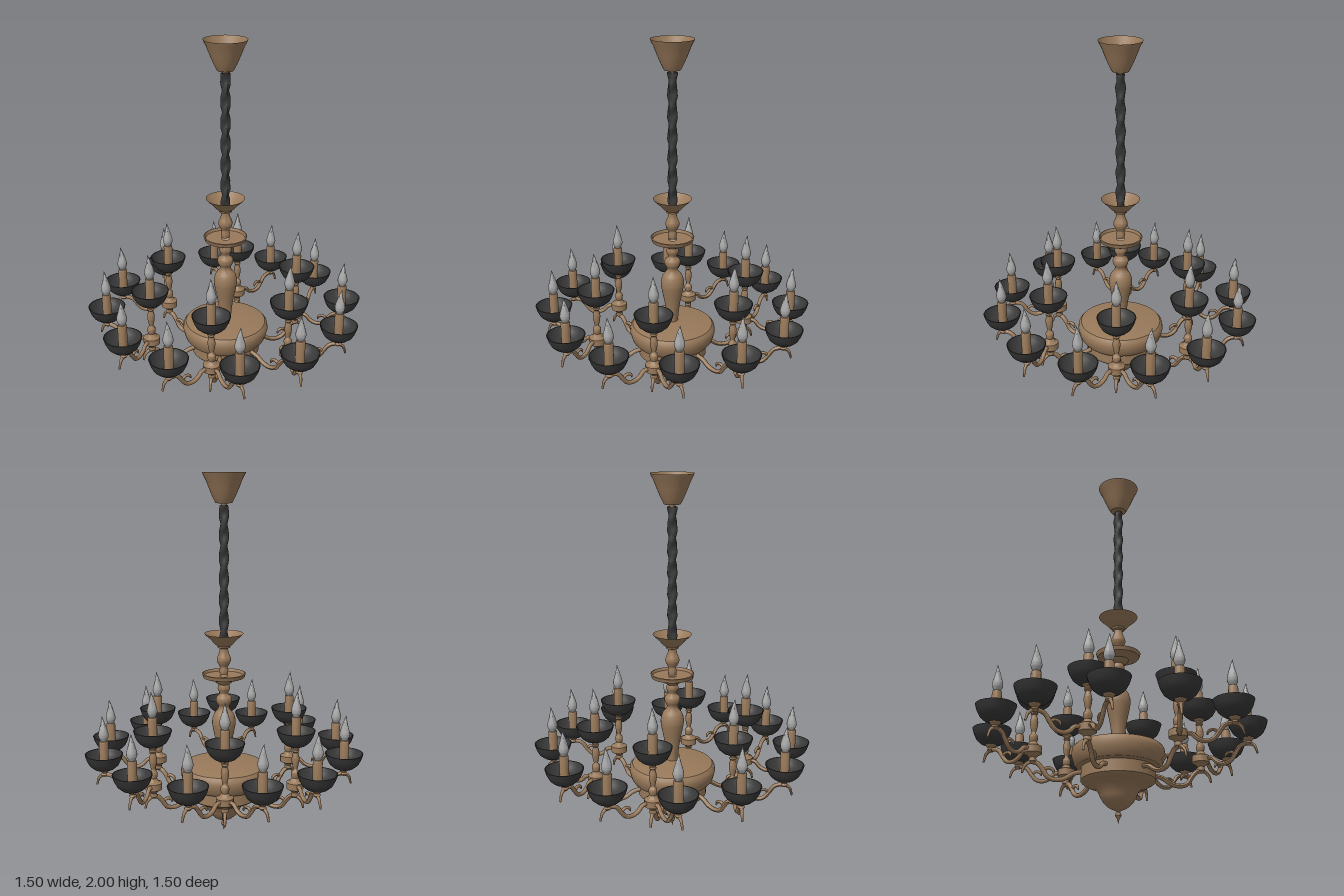
import * as THREE from 'three';
import { toCreasedNormals } from 'three/addons/utils/BufferGeometryUtils.js';

const material = (name, color) => {
  const m = new THREE.MeshStandardMaterial({ color, side: THREE.DoubleSide });
  m.name = name;
  return m;
};

// Turned shape from [radius, height] pairs listed bottom to top
const turned = (pts, sides = 24, crease = 0.6) =>
  toCreasedNormals(new THREE.LatheGeometry(pts.map(([r, y]) => new THREE.Vector2(r, y)), sides), crease);

// Rounds the profile through a spline before turning it
const turnedSmooth = (pts, steps, sides) => {
  const curve = new THREE.SplineCurve(pts.map(([r, y]) => new THREE.Vector2(r, y)));
  return turned(curve.getPoints(steps).map((p) => [Math.max(p.x, 0), p.y]), sides, 0.9);
};

// Tapered rod that follows [x, y] points in the xy plane
const rod = (pts, radius, taper = 0.45) => {
  const curve = new THREE.CatmullRomCurve3(pts.map(([x, y]) => new THREE.Vector3(x, y, 0)));
  const n = 28, sides = 8;
  const g = new THREE.TubeGeometry(curve, n, radius, sides, false);
  const p = g.attributes.position, c = new THREE.Vector3(), v = new THREE.Vector3();
  for (let i = 0; i <= n; i++) {
    const t = i / n;
    curve.getPointAt(t, c);
    const s = t < 0.75 ? 1 : 1 - (1 - taper) * (t - 0.75) / 0.25;
    for (let j = 0; j <= sides; j++) {
      const k = i * (sides + 1) + j;
      v.fromBufferAttribute(p, k).sub(c).multiplyScalar(s).add(c);
      p.setXYZ(k, v.x, v.y, v.z);
    }
  }
  g.computeVertexNormals();
  return g;
};

export function createModel() {
  const bronze = material('bronze', 0x98795a);
  const black = material('black metal', 0x383838);
  const glass = material('bulb grey', 0xa6a6a6);
  const root = new THREE.Group();
  root.name = 'chandelier';
  const add = (parent, name, geometry, mat, x = 0, y = 0, z = 0) => {
    const m = new THREE.Mesh(geometry, mat);
    m.name = name;
    m.position.set(x, y, z);
    parent.add(m);
    return m;
  };

  // Ceiling canopy, an open funnel
  add(root, 'canopy', turned([[0, 1.825], [0.014, 1.83], [0.016, 1.84], [0.043, 1.842], [0.048, 1.85],
    [0.063, 1.88], [0.08, 1.92], [0.098, 1.965], [0.11, 1.988], [0.115, 2]], 32), bronze);

  // Suspension cord with a twisted, lumpy surface
  const cord = new THREE.CylinderGeometry(1, 1, 0.73, 12, 60, false);
  const cp = cord.attributes.position;
  for (let i = 0; i < cp.count; i++) {
    const x = cp.getX(i), y = cp.getY(i), z = cp.getZ(i);
    const r = 0.0235 + 0.004 * Math.cos(2 * Math.atan2(z, x) + y * 55) + 0.001 * Math.sin(y * 110);
    cp.setXYZ(i, x * r, y, z * r);
  }
  cord.computeVertexNormals();
  add(root, 'cord', cord, black, 0, 1.465);

  // Open flared cup where the cord ends
  add(root, 'topCup', turned([[0.02, 1.065], [0.034, 1.07], [0.036, 1.08], [0.05, 1.09], [0.072, 1.115],
    [0.098, 1.138], [0.106, 1.148]], 32), bronze);
  add(root, 'topCupFloor', turned([[0.038, 1.083], [0, 1.084]]), bronze);

  // Upper column with its dish
  add(root, 'upperColumn', turnedSmooth([[0.022, 0.92], [0.024, 0.945], [0.021, 0.96], [0.036, 0.99],
    [0.038, 1.01], [0.025, 1.045], [0.022, 1.075]], 30), bronze);
  add(root, 'dish', turned([[0.03, 0.865], [0.045, 0.875], [0.055, 0.89], [0.1, 0.9], [0.113, 0.905],
    [0.12, 0.926], [0.114, 0.928], [0.108, 0.912], [0.022, 0.91]], 32), bronze);
  add(root, 'column', turnedSmooth([[0.03, 0.39], [0.032, 0.43], [0.042, 0.52], [0.06, 0.61], [0.065, 0.655],
    [0.055, 0.695], [0.036, 0.72], [0.03, 0.74], [0.042, 0.765], [0.042, 0.79], [0.024, 0.81],
    [0.03, 0.83], [0.034, 0.845], [0.026, 0.875]], 60), bronze);

  // Central body with stepped tiers and a lower finial
  add(root, 'body', turned([[0, 0.005], [0.006, 0.03], [0.016, 0.045], [0.014, 0.058], [0.006, 0.066],
    [0.022, 0.074], [0.05, 0.088], [0.076, 0.112], [0.092, 0.14], [0.104, 0.168], [0.125, 0.188],
    [0.165, 0.203], [0.186, 0.215], [0.192, 0.222], [0.192, 0.285], [0.214, 0.292], [0.228, 0.31],
    [0.236, 0.335], [0.242, 0.36], [0.238, 0.385], [0.225, 0.4], [0.18, 0.409], [0.1, 0.416], [0.03, 0.42]], 48), bronze);

  // Shared candle geometries, with y = 0 at the cup rim
  const cupGeo = turned([[0, -0.088], [0.035, -0.088], [0.055, -0.08], [0.078, -0.06], [0.093, -0.032],
    [0.103, 0], [0.098, 0], [0.085, -0.03], [0.06, -0.052], [0, -0.06]], 24);
  const socketGeo = turned([[0.012, -0.125], [0.02, -0.115], [0.014, -0.105], [0.028, -0.092], [0.03, -0.086]], 12);
  const candleGeo = turned([[0.025, -0.06], [0.025, 0.068], [0.022, 0.073], [0, 0.073]], 16);
  const flameGeo = turnedSmooth([[0.014, 0.07], [0.026, 0.095], [0.027, 0.115], [0.018, 0.15],
    [0.008, 0.185], [0.001, 0.212]], 20, 14);
  const fp = flameGeo.attributes.position;
  for (let i = 0; i < fp.count; i++) {
    const t = Math.max(0, (fp.getY(i) - 0.14) / 0.07);
    fp.setX(i, fp.getX(i) + 0.006 * t * t);
  }
  const candle = (parent, x, y, z) => {
    const g = new THREE.Group();
    g.name = 'candleLight';
    g.position.set(x, y, z);
    add(g, 'cup', cupGeo, black);
    add(g, 'socket', socketGeo, bronze);
    add(g, 'candle', candleGeo, bronze);
    add(g, 'flameBulb', flameGeo, glass);
    parent.add(g);
  };

  // Shared arm geometries
  const armGeo = rod([[0.18, 0.262], [0.23, 0.25], [0.275, 0.222], [0.32, 0.213], [0.36, 0.226], [0.385, 0.262],
    [0.415, 0.294], [0.455, 0.296], [0.48, 0.272], [0.488, 0.24]], 0.0125);
  const armCurlGeo = rod([[0.385, 0.255], [0.36, 0.272], [0.335, 0.264], [0.328, 0.245]], 0.009);
  const branchGeo = rod([[0.035, 0.362], [0.065, 0.36], [0.09, 0.335], [0.125, 0.32], [0.165, 0.327], [0.195, 0.36],
    [0.222, 0.395], [0.262, 0.405], [0.3, 0.39], [0.317, 0.345]], 0.0115);
  const branchCurlGeo = rod([[0.195, 0.358], [0.17, 0.375], [0.145, 0.367], [0.138, 0.35]], 0.008);
  const hubGeo = turned([[0.01, 0.29], [0.02, 0.3], [0.018, 0.32], [0.03, 0.335], [0.046, 0.342], [0.046, 0.378],
    [0.03, 0.385], [0.02, 0.4], [0.014, 0.41]], 20);
  const postGeo = turnedSmooth([[0.014, 0.39], [0.022, 0.415], [0.022, 0.435], [0.012, 0.45], [0.017, 0.475],
    [0.021, 0.51], [0.013, 0.55], [0.018, 0.565], [0.012, 0.585]], 32, 12);

  // Six arms, each with one raised candle and two lower ones
  const hubR = 0.438;
  for (let i = 0; i < 6; i++) {
    const arm = new THREE.Group();
    arm.name = 'arm';
    arm.rotation.y = -(i * Math.PI / 3 + 0.015);
    root.add(arm);
    add(arm, 'armScroll', armGeo, bronze);
    add(arm, 'armCurl', armCurlGeo, bronze);
    add(arm, 'hub', hubGeo, bronze, hubR);
    add(arm, 'post', postGeo, bronze, hubR);
    candle(arm, hubR, 0.668, 0);
    for (const side of [-1, 1]) {
      const branch = new THREE.Group();
      branch.name = 'branch';
      branch.position.x = hubR;
      branch.rotation.y = side * 0.725;
      arm.add(branch);
      add(branch, 'branchScroll', branchGeo, bronze);
      add(branch, 'branchCurl', branchCurlGeo, bronze);
      candle(branch, 0.273, 0.52, 0);
    }
  }
  return root;
}
